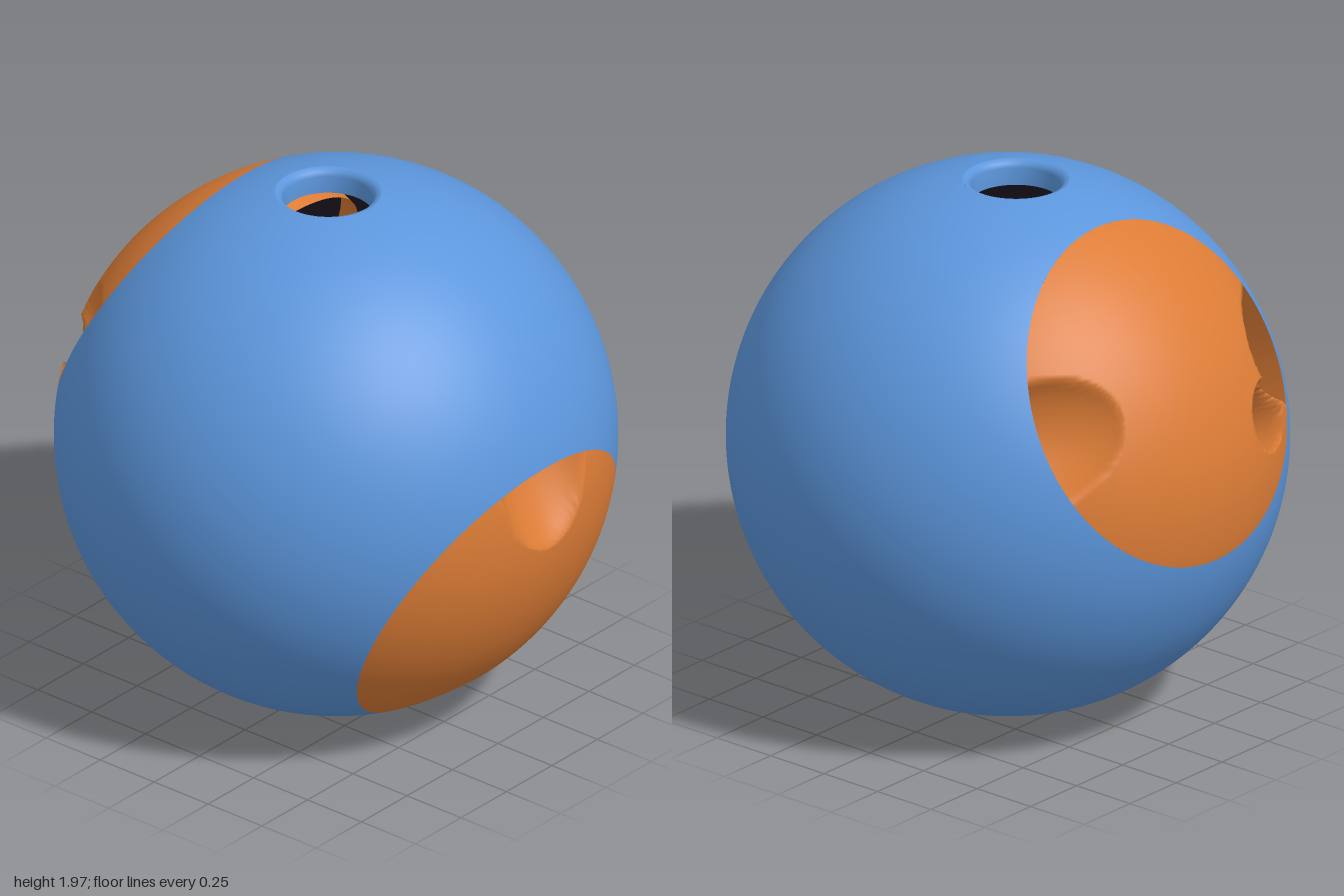
import * as THREE from 'three';

const AXIS_TILT = THREE.MathUtils.degToRad(116.57); // turns +y onto the front cap's axis
const CAP_R = 0.628;                                // radius of the cap rim
const CAP_ANGLE = Math.asin(CAP_R);
const LIP_R = 0.19, HOLE_R = 0.16, LIP_Y = Math.sqrt(1 - LIP_R * LIP_R);
const X_AXIS = new THREE.Vector3(1, 0, 0);

// Grid of points closed around its columns; pointAt returns { p, skip }
function ringGrid(rows, cols, pointAt) {
  const positions = [], skipped = [], index = [];
  for (let i = 0; i <= rows; i++) {
    for (let j = 0; j < cols; j++) {
      const { p, skip } = pointAt(i / rows, (j / cols) * Math.PI * 2);
      positions.push(p.x, p.y, p.z);
      skipped.push(skip);
    }
  }
  const addFace = (a, b, c) => {
    if (!(skipped[a] && skipped[b] && skipped[c])) index.push(a, b, c);
  };
  for (let i = 0; i < rows; i++) {
    for (let j = 0; j < cols; j++) {
      const k = (j + 1) % cols;
      const a = i * cols + j, b = i * cols + k, c = a + cols, d = b + cols;
      addFace(a, b, c);
      addFace(b, d, c);
    }
  }
  const geometry = new THREE.BufferGeometry();
  geometry.setAttribute('position', new THREE.Float32BufferAttribute(positions, 3));
  geometry.setIndex(index);
  geometry.computeVertexNormals();
  return geometry;
}

// Ball surface between the two caps, with an opening at top and bottom
function shellGeometry() {
  const geometry = ringGrid(100, 240, (t, a) => {
    const phi = CAP_ANGLE + t * (Math.PI - 2 * CAP_ANGLE);
    const p = new THREE.Vector3(
      Math.sin(phi) * Math.cos(a), Math.cos(phi), Math.sin(phi) * Math.sin(a)
    ).applyAxisAngle(X_AXIS, AXIS_TILT);
    const side = Math.sign(p.y), cx = -0.02 * side, cz = -0.02 * side;
    const dx = p.x - cx, dz = p.z - cz, d = Math.hypot(dx, dz);
    const skip = Math.abs(p.y) > 0.8 && d < LIP_R;
    if (skip) {
      const s = LIP_R / Math.max(d, 1e-4);
      p.set(cx + dx * s, side * LIP_Y, cz + dz * s);
    }
    return { p, skip };
  });
  const pos = geometry.attributes.position, n = new THREE.Vector3();
  for (let i = 0; i < pos.count; i++) {
    n.fromBufferAttribute(pos, i).normalize();
    geometry.attributes.normal.setXYZ(i, n.x, n.y, n.z);
  }
  return geometry;
}

// Domed cap along +y; scoops sit on the rim at the given angles, pit is a round hole
function capGeometry(scoopAngles, pit) {
  return ringGrid(60, 200, (t, a) => {
    const r = t * CAP_R, x = r * Math.cos(a), z = r * Math.sin(a);
    let drop = 0;
    for (const s of scoopAngles) {
      const along = x * Math.cos(s) + z * Math.sin(s) - CAP_R;
      const across = -x * Math.sin(s) + z * Math.cos(s);
      const q = Math.hypot(along / 0.27, across / 0.22);
      if (q < 1) drop = 0.2 * Math.pow(1 - q * q, 0.8);
    }
    if (pit) {
      const q = Math.hypot(x - pit.x, z - pit.z) / pit.r;
      if (q < 1) drop = Math.max(drop, 0.22 * Math.min(1, (1 - q) * 4));
    }
    return { p: new THREE.Vector3(x, Math.sqrt(1 - r * r) - drop, z), skip: false };
  });
}

export function createModel() {
  const blue = new THREE.MeshStandardMaterial({ color: 0x5c96dc });
  blue.name = 'blue';
  const orange = new THREE.MeshStandardMaterial({ color: 0xdc7c36, side: THREE.DoubleSide });
  orange.name = 'orange';
  const dark = new THREE.MeshStandardMaterial({ color: 0x221a28 });
  dark.name = 'dark interior';

  const model = new THREE.Group();
  model.name = 'ball';
  const ball = new THREE.Group();
  ball.name = 'ballBody';
  ball.position.y = 0.985;
  model.add(ball);
  const add = (parent, name, geometry, material) => {
    const mesh = new THREE.Mesh(geometry, material);
    mesh.name = name;
    parent.add(mesh);
    return mesh;
  };

  add(ball, 'outerShell', shellGeometry(), blue);

  // Inward-facing lining of the hollow shell
  const lining = new THREE.SphereGeometry(0.9, 64, 40).scale(-1, 1, 1);
  lining.computeVertexNormals();
  add(ball, 'shellLining', lining, dark);

  // Rounded lips of the top and bottom holes
  const lipProfile = [
    [HOLE_R, 0.89], [HOLE_R, 0.955], [HOLE_R + 0.008, 0.97],
    [HOLE_R + 0.018, 0.979], [LIP_R, LIP_Y],
  ].map(([x, y]) => new THREE.Vector2(x, y)).reverse();
  const lipMaterial = blue.clone();
  lipMaterial.side = THREE.DoubleSide;
  lipMaterial.name = 'blue lip';
  for (const side of [1, -1]) {
    const lip = add(ball, side > 0 ? 'topHoleLip' : 'bottomHoleLip',
      new THREE.LatheGeometry(lipProfile, 64), lipMaterial);
    lip.position.set(-0.02 * side, 0, -0.02 * side);
    if (side < 0) lip.rotation.x = Math.PI;
  }

  // Core running between the caps
  const core = add(ball, 'core', new THREE.CylinderGeometry(0.45, 0.45, 1.5, 64), orange);
  core.rotation.x = AXIS_TILT;

  // Caps: the scoops of one are turned a quarter from the other's
  const caps = [
    { name: 'frontCap', tilt: AXIS_TILT, scoops: [Math.PI / 2, -Math.PI / 2] },
    { name: 'backCap', tilt: AXIS_TILT - Math.PI, scoops: [0, Math.PI],
      pit: { x: -0.37, z: -0.22, r: 0.125 } },
  ];
  for (const { name, tilt, scoops, pit } of caps) {
    const cap = new THREE.Group();
    cap.name = name;
    cap.rotation.x = tilt;
    add(cap, name + 'Dome', capGeometry(scoops, pit), orange);
    const wall = add(cap, name + 'RimWall',
      new THREE.CylinderGeometry(CAP_R, CAP_R, 0.22, 120, 1, true), orange);
    wall.position.y = Math.cos(CAP_ANGLE) - 0.112;
    ball.add(cap);
  }
  return model;
}
